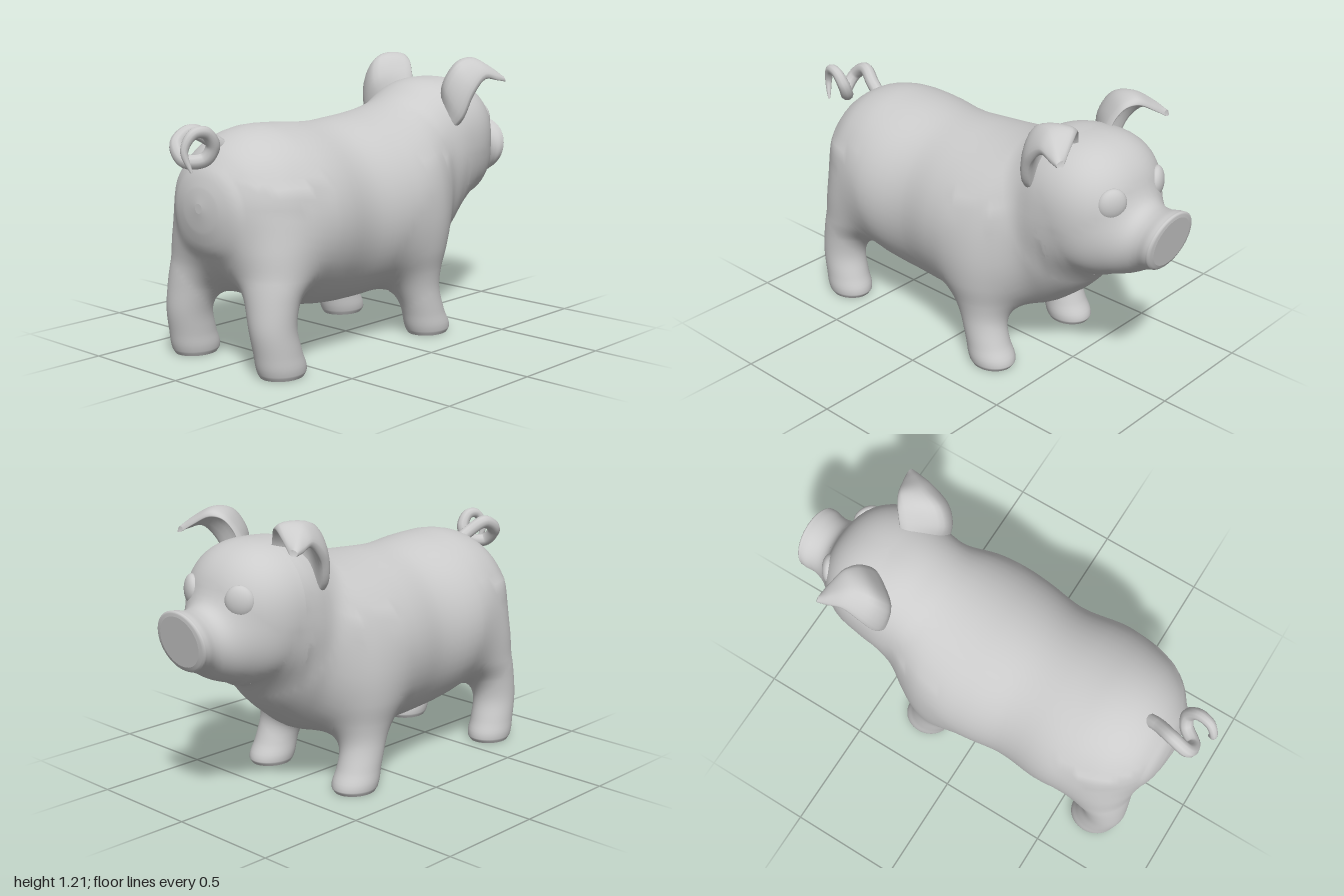
import * as THREE from 'three';

const V = (x, y, z) => new THREE.Vector3(x, y, z);
const material = new THREE.MeshStandardMaterial({ color: 0xcccccc });

// Skin over closed cross-sections, capped at both ends, always facing outward
function loft(rings) {
  const cols = rings[0].length;
  const last = rings.length - 1;
  const pts = rings.flat();
  const index = [];
  for (let i = 0; i < last; i++) {
    for (let j = 0; j < cols; j++) {
      const a = i * cols + j, b = i * cols + (j + 1) % cols;
      index.push(a, b, b + cols, a, b + cols, a + cols);
    }
  }
  for (const end of [0, last]) {
    const base = pts.length;
    const mid = V(0, 0, 0);
    for (const p of rings[end]) mid.addScaledVector(p, 1 / cols);
    pts.push(...rings[end], mid);
    for (let j = 0; j < cols; j++) {
      const a = base + j, b = base + (j + 1) % cols;
      index.push(...(end ? [base + cols, a, b] : [base + cols, b, a]));
    }
  }
  let volume = 0;
  const cross = V(0, 0, 0);
  for (let i = 0; i < index.length; i += 3) {
    volume += pts[index[i]].dot(cross.crossVectors(pts[index[i + 1]], pts[index[i + 2]]));
  }
  if (volume < 0) index.reverse();
  const geometry = new THREE.BufferGeometry().setFromPoints(pts);
  geometry.setIndex(index);
  geometry.computeVertexNormals();
  return geometry;
}

// A limb or trunk of oval sections along z (upright) or y (level).
// Rows: [position, centre x, centre y or z, radius x, radius y or z, slant]
function ovalPart(rows, upright) {
  const at = rows.map(r => r[0]);
  const spline = new THREE.CubicInterpolant(at, new Float32Array(rows.flatMap(r => r.slice(1))), 5);
  return {
    geometry(side, steps) {
      const rings = [];
      for (let i = 0; i <= (at.length - 1) * steps; i++) {
        const k = Math.min(Math.floor(i / steps), at.length - 2);
        const t = at[k] + (at[k + 1] - at[k]) * (i / steps - k);
        const [cx, cv, rx, rv, slant] = spline.evaluate(t);
        rings.push(Array.from({ length: 48 }, (_, j) => {
          const c = Math.cos(j / 24 * Math.PI), s = Math.sin(j / 24 * Math.PI);
          const x = side * (cx + c * rx), v = cv + s * rv;
          return upright ? V(x, v, t - s * slant) : V(x, t, v);
        }));
      }
      return loft(rings);
    },
    // Approximate distance to the surface
    field(x, y, z) {
      const [t, v] = upright ? [z, y] : [y, z];
      const [cx, cv, rx, rv] = spline.evaluate(t);
      const a = (x - cx) / rx, b = (v - cv) / rv;
      const q = Math.hypot(a, b);
      return Math.max(q * (q - 1) / (Math.hypot(a / rx, b / rv) + 1e-6), t - at[at.length - 1], at[0] - t);
    }
  };
}

// Trunk rows given as [z, top, bottom, half width, slant]
const trunk = rows => ovalPart(rows.map(([z, top, bottom, w, slant = 0]) =>
  [z, 0, (top + bottom) / 2, w, (top - bottom) / 2, slant]).reverse(), true);

// Leg rows given as [y, x, z, radius x, radius z]
const leg = rows => ovalPart(rows.map(r => [...r, 0]), false);

const body = trunk([
  [0.862, 0.70, 0.66, 0.02], [0.85, 0.77, 0.57, 0.11], [0.80, 0.865, 0.46, 0.215],
  [0.70, 0.95, 0.35, 0.31], [0.58, 0.988, 0.27, 0.36], [0.43, 0.988, 0.215, 0.39],
  [0.20, 0.972, 0.18, 0.367], [0.02, 0.98, 0.183, 0.392], [-0.10, 0.99, 0.195, 0.398],
  [-0.22, 1.01, 0.21, 0.38], [-0.32, 1.04, 0.23, 0.34], [-0.41, 1.075, 0.265, 0.295],
  [-0.50, 1.07, 0.33, 0.27], [-0.58, 1.02, 0.40, 0.235], [-0.64, 0.93, 0.47, 0.185],
  [-0.69, 0.80, 0.54, 0.10]
]);

const snout = trunk([
  [-0.60, 0.82, 0.54, 0.22], [-0.70, 0.85, 0.535, 0.205], [-0.78, 0.87, 0.55, 0.175],
  [-0.85, 0.865, 0.575, 0.148, 0.005], [-0.91, 0.87, 0.605, 0.138, 0.015],
  [-0.96, 0.88, 0.625, 0.143, 0.022], [-0.976, 0.876, 0.632, 0.135, 0.022],
  [-0.981, 0.86, 0.648, 0.115, 0.018]
]);

const rearLeg = leg([
  [0, 0.262, 0.66, 0.083, 0.095], [0.02, 0.262, 0.66, 0.093, 0.107], [0.10, 0.26, 0.68, 0.094, 0.104],
  [0.20, 0.253, 0.70, 0.096, 0.10], [0.30, 0.238, 0.688, 0.112, 0.11], [0.40, 0.215, 0.655, 0.138, 0.135],
  [0.52, 0.20, 0.635, 0.13, 0.135], [0.68, 0.17, 0.59, 0.08, 0.09]
]);

const frontLeg = leg([
  [0, 0.262, -0.258, 0.083, 0.095], [0.02, 0.262, -0.258, 0.093, 0.107], [0.10, 0.26, -0.23, 0.092, 0.10],
  [0.20, 0.255, -0.20, 0.093, 0.10], [0.30, 0.245, -0.19, 0.105, 0.11], [0.40, 0.225, -0.185, 0.13, 0.13],
  [0.52, 0.20, -0.19, 0.13, 0.13], [0.68, 0.17, -0.20, 0.08, 0.09]
]);

// Boxy egg for the skull
const skull = (x, y, z) => Math.pow(Math.abs(x) ** 2.3 + Math.abs(y) ** 2.3 + Math.abs(z) ** 2.3, 1 / 2.3);
const head = {
  geometry() {
    const geometry = new THREE.SphereGeometry(1, 48, 32);
    const pos = geometry.attributes.position;
    for (let i = 0; i < pos.count; i++) {
      const p = V(0, 0, 0).fromBufferAttribute(pos, i);
      p.divideScalar(skull(p.x, p.y, p.z));
      pos.setXYZ(i, p.x * 0.29, 0.832 + p.y * 0.28, -0.565 + p.z * 0.272);
    }
    geometry.computeVertexNormals();
    return geometry;
  },
  field: (x, y, z) => (skull(x / 0.29, (y - 0.832) / 0.28, (z + 0.565) / 0.272) - 1) * 0.28
};

// Soft union of all fleshy parts
const join = (a, b, k) => Math.min(a, b) - Math.max(k - Math.abs(a - b), 0) ** 2 / (4 * k);
function flesh(p) {
  const q = [Math.abs(p.x), p.y, p.z];
  const legs = join(join(body.field(...q), rearLeg.field(...q), 0.14), frontLeg.field(...q), 0.14);
  return join(legs, join(head.field(...q), snout.field(...q), 0.09), 0.07);
}

// Pulls vertices near a joint onto the soft union, so that parts flow into each other
function soften(geometry, part) {
  const { position, normal } = geometry.attributes;
  const e = 0.002;
  for (let i = 0; i < position.count; i++) {
    const p = V(0, 0, 0).fromBufferAttribute(position, i);
    const start = flesh(p);
    if (start < -0.06 || start > part.field(Math.abs(p.x), p.y, p.z) - 1e-4) continue;
    const slope = V(0, 0, 0);
    for (let step = 0; step < 6; step++) {
      for (const axis of ['x', 'y', 'z']) {
        const ahead = p.clone(), behind = p.clone();
        ahead[axis] += e;
        behind[axis] -= e;
        slope[axis] = (flesh(ahead) - flesh(behind)) / (2 * e);
      }
      p.addScaledVector(slope, -flesh(p) / Math.max(slope.lengthSq(), 0.25));
    }
    slope.normalize();
    position.setXYZ(i, p.x, p.y, p.z);
    normal.setXYZ(i, slope.x, slope.y, slope.z);
  }
  return geometry;
}

// Ear rows from root to drooping tip: inner edge, middle, outer edge, half thickness
const EAR = [
  [[0.10, 1.07, -0.555], [0.17, 0.99, -0.47], [0.245, 0.895, -0.445], [0.005, 0.01, 0.03]],
  [[0.125, 1.13, -0.57], [0.20, 1.08, -0.45], [0.29, 0.955, -0.46], [0.01, 0.01, 0.028]],
  [[0.16, 1.18, -0.60], [0.235, 1.165, -0.49], [0.318, 1.06, -0.495], [0.01, 0.016, 0.022]],
  [[0.205, 1.19, -0.635], [0.265, 1.185, -0.57], [0.33, 1.13, -0.57], [0.005, 0.02, 0.01]],
  [[0.275, 1.15, -0.665], [0.315, 1.15, -0.635], [0.348, 1.12, -0.635], [0, 0.018, 0.006]],
  [[0.325, 1.115, -0.685], [0.342, 1.115, -0.685], [0.358, 1.11, -0.68], [0, 0.012, 0.004]]
];

function earGeometry(side) {
  const rows = EAR.map(row => {
    const [a, m, b, h] = row.map(p => V(p[0] * side, p[1], p[2]));
    const loop = [[a, 0.6], [m, 1], [b, 0.6], [b, -0.6], [m, -1], [a, -0.6]]
      .map(([p, s]) => p.clone().addScaledVector(h, s));
    return new THREE.CatmullRomCurve3(loop, true).getPoints(30).slice(0, -1);
  });
  const lines = rows[0].map((_, j) => new THREE.CatmullRomCurve3(rows.map(r => r[j])).getPoints(25));
  return loft(lines[0].map((_, i) => lines.map(line => line[i])));
}

// Curly tail tube that narrows to a tip
function tailGeometry() {
  const path = new THREE.CatmullRomCurve3([
    V(-0.01, 0.90, 0.70), V(-0.025, 0.945, 0.765), V(-0.055, 0.985, 0.845), V(-0.055, 0.94, 0.92),
    V(0, 0.88, 0.925), V(0.05, 0.885, 0.865), V(0.08, 0.94, 0.85), V(0.085, 0.995, 0.89),
    V(0.075, 0.995, 0.945), V(0.06, 0.93, 0.98), V(0.08, 0.84, 0.96)
  ]);
  const segments = 90, sides = 10;
  const geometry = new THREE.TubeGeometry(path, segments, 0.03, sides);
  const pos = geometry.attributes.position;
  const p = V(0, 0, 0);
  for (let i = 0; i < pos.count; i++) {
    const u = Math.floor(i / (sides + 1)) / segments;
    const size = u > 0.6 ? Math.sqrt((1 - u) / 0.4) : 1;
    p.fromBufferAttribute(pos, i).lerp(path.getPointAt(u), 1 - size);
    pos.setXYZ(i, p.x, p.y, p.z);
  }
  return geometry;
}

export function createModel() {
  const model = new THREE.Group();
  model.name = 'pig';
  const add = (name, geometry) => {
    const mesh = new THREE.Mesh(geometry, material);
    mesh.name = name;
    model.add(mesh);
    return mesh;
  };

  add('body', soften(body.geometry(1, 5), body));
  add('head', soften(head.geometry(), head));
  add('snout', soften(snout.geometry(1, 5), snout));
  add('tail', tailGeometry());
  for (const [label, side] of [['left', 1], ['right', -1]]) {
    add(label + 'RearLeg', soften(rearLeg.geometry(side, 5), rearLeg));
    add(label + 'FrontLeg', soften(frontLeg.geometry(side, 5), frontLeg));
    add(label + 'Ear', earGeometry(side));
    const eye = add(label + 'Eye', new THREE.SphereGeometry(1, 24, 16));
    eye.scale.set(0.064, 0.067, 0.034);
    eye.position.set(side * 0.145, 0.907, -0.787);
    eye.rotation.y = -side * 0.5;
  }
  return model;
}
